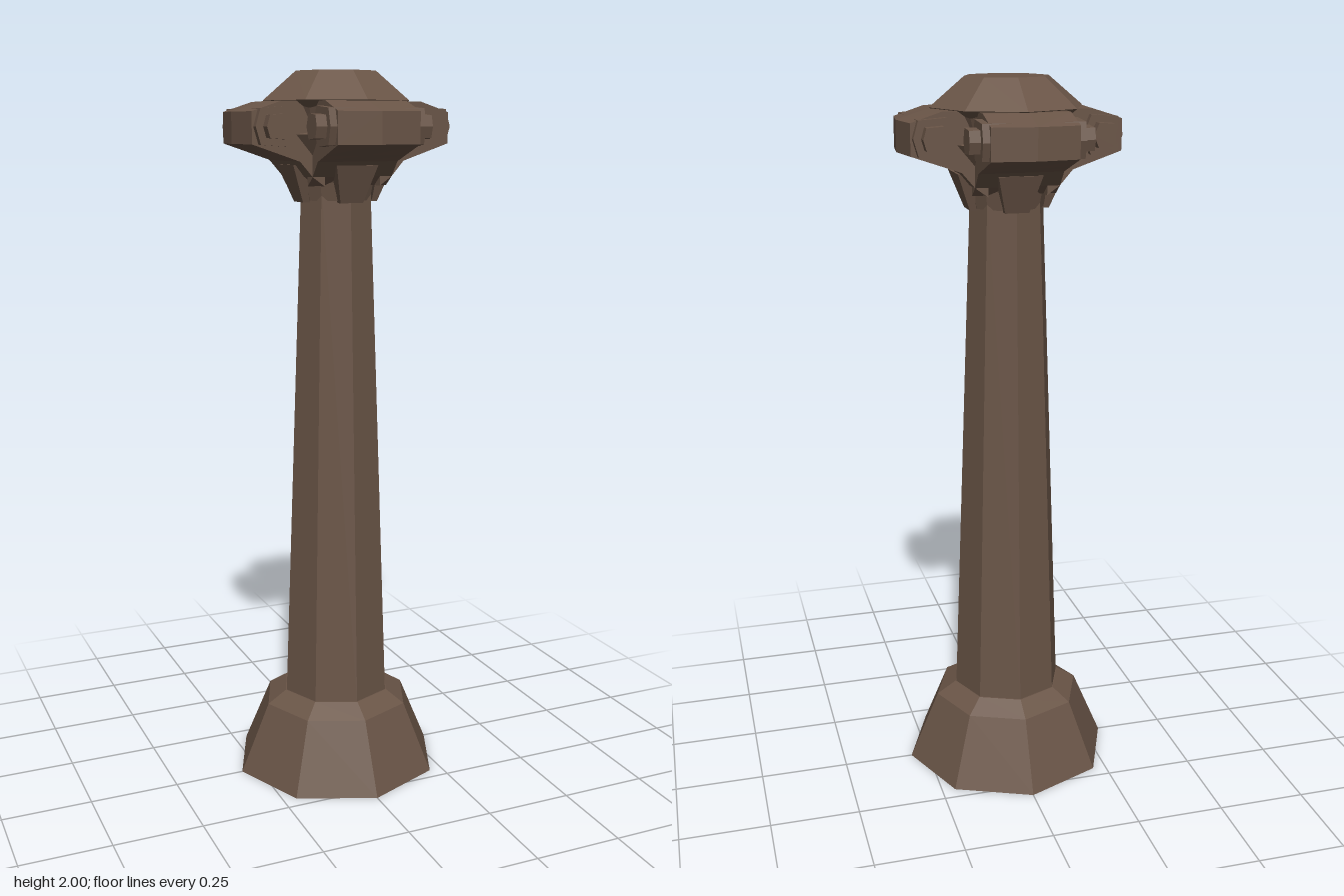
import * as THREE from 'three';

const stone = new THREE.MeshStandardMaterial({ color: 0x6a5547, flatShading: true });
stone.name = 'brown stone';

const points = (list) => list.map(([x, y]) => new THREE.Vector2(x, y));

// Turned part whose corners lie on the x and z axes
function turned(name, profile, sides = 8) {
  const mesh = new THREE.Mesh(new THREE.LatheGeometry(points(profile), sides), stone);
  mesh.name = name;
  return mesh;
}

// Radial profile (radius, height) given a width across; rule may reshape each vertex
function slab(name, profile, width, rule, steps = 1) {
  const geometry = new THREE.ExtrudeGeometry(new THREE.Shape(points(profile)), {
    depth: width, steps, bevelEnabled: false,
  });
  geometry.translate(0, 0, -width / 2);
  if (rule) {
    const p = geometry.attributes.position;
    const v = new THREE.Vector3();
    for (let i = 0; i < p.count; i++) {
      rule(v.fromBufferAttribute(p, i));
      p.setXYZ(i, v.x, v.y, v.z);
    }
  }
  geometry.computeVertexNormals();
  const mesh = new THREE.Mesh(geometry, stone);
  mesh.name = name;
  return mesh;
}

// Six-sided outline of a scroll end, scaled about the scroll centre
const scrollEnd = (s) => [
  [-1, 0], [-0.6, -0.95], [0.75, -0.85], [1, 0], [0.75, 0.85], [-0.6, 0.95],
].map(([x, y]) => [0.225 + x * s, 1.855 + y * s]);

export function createModel() {
  const model = new THREE.Group();
  model.name = 'column';

  model.add(
    turned('base', [[0, 0], [0.3, 0], [0.215, 0.2], [0.16, 0.235], [0, 0.235]]),
    turned('shaft', [[0.157, 0.23], [0.102, 1.7]]),
    turned('bell', [[0.1, 1.66], [0.11, 1.71], [0.135, 1.765], [0.158, 1.82], [0.17, 1.87], [0.19, 1.92]], 16),
    turned('dome', [[0, 1.9], [0.18, 1.9], [0.21, 1.922], [0.115, 2], [0, 2]]),
  );

  const scrollProfile = [
    [0.08, 1.70], [0.115, 1.725], [0.15, 1.765], [0.2, 1.782],
    [0.283, 1.81], [0.283, 1.893], [0.2, 1.92], [0.08, 1.92],
  ];
  for (let i = 0; i < 4; i++) {
    const side = new THREE.Group();
    side.name = 'capitalSide';
    side.rotation.y = i * Math.PI / 2;

    // Scroll block, bowed outward at its middle
    side.add(slab('scroll', scrollProfile, 0.23, (v) => {
      if (Math.abs(v.z) < 0.01 && v.x > 0.18) v.x *= 1.055;
    }, 2));
    // Stepped bosses on both ends
    side.add(slab('scrollBoss', scrollEnd(0.054), 0.268));
    side.add(slab('scrollEye', scrollEnd(0.034), 0.326));

    // Tapered leaf below the scroll
    side.add(slab('leaf', [[0.08, 1.655], [0.11, 1.655], [0.148, 1.755], [0.08, 1.755]], 0.12, (v) => {
      if (v.y < 1.7) v.z *= 0.55;
    }));

    // Small leaf in the gap between scrolls
    const corner = slab('cornerLeaf', [[0.1, 1.76], [0.15, 1.76], [0.195, 1.835], [0.12, 1.85]], 0.064);
    corner.rotation.y = Math.PI / 4;
    side.add(corner);
    model.add(side);
  }
  return model;
}
